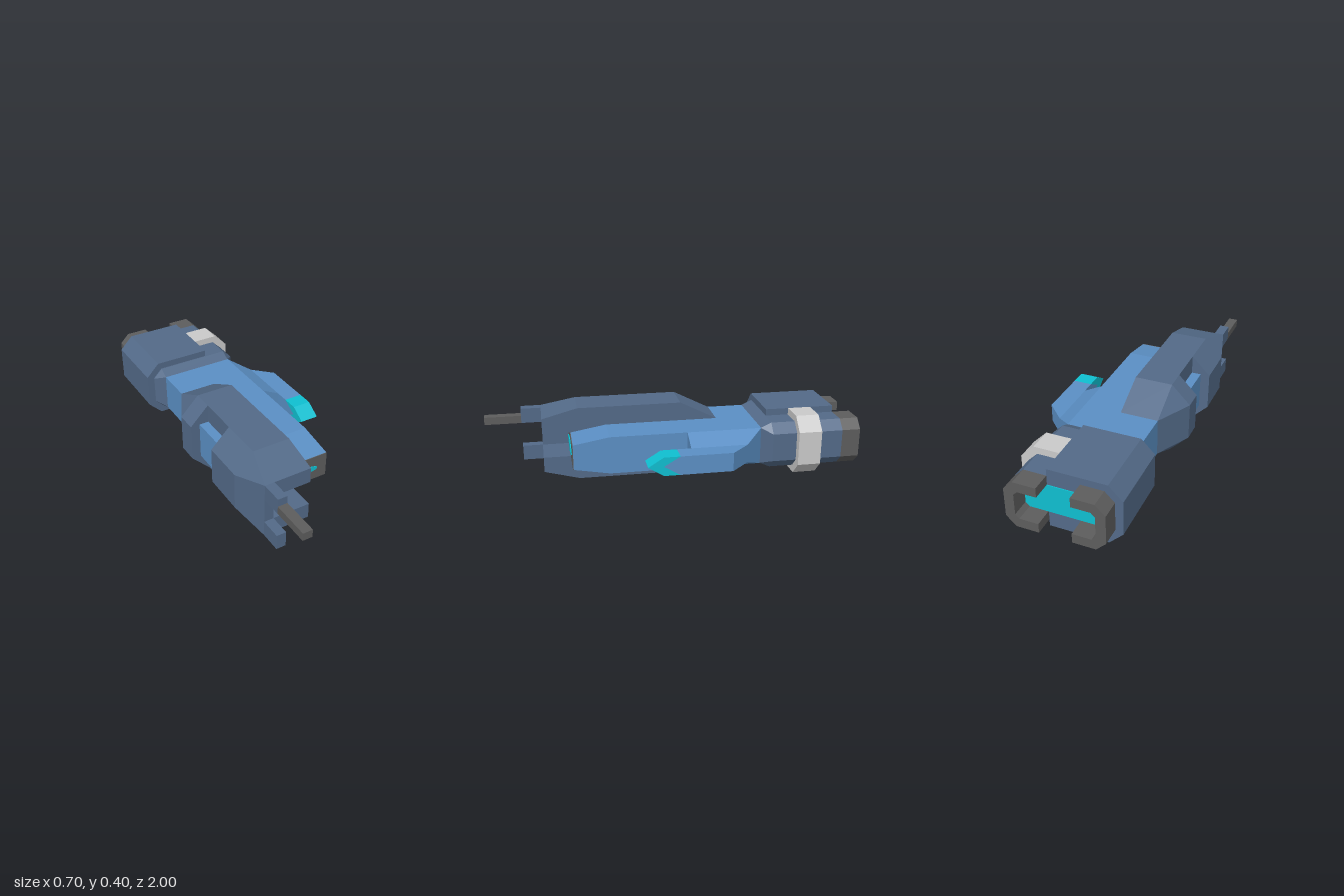
import * as THREE from 'three';

const mat = (name, color) => {
  const m = new THREE.MeshStandardMaterial({ color, flatShading: true });
  m.name = name;
  return m;
};

const MID = 0.202; // height of the horizontal symmetry plane
const flipY = (y) => 2 * MID - y;

// Skin a row of matching convex cross-sections, each counter-clockwise about the direction of travel
function loft(sections) {
  const pos = [];
  const tri = (a, b, c) => pos.push(...a, ...b, ...c);
  for (let s = 0; s + 1 < sections.length; s++) {
    const p = sections[s], q = sections[s + 1], n = p.length;
    for (let i = 0; i < n; i++) {
      const j = (i + 1) % n;
      tri(p[i], p[j], q[j]);
      tri(p[i], q[j], q[i]);
    }
  }
  const first = sections[0], last = sections[sections.length - 1];
  for (let i = 1; i + 1 < first.length; i++) {
    tri(first[0], first[i + 1], first[i]);
    tri(last[0], last[i], last[i + 1]);
  }
  const g = new THREE.BufferGeometry();
  g.setAttribute('position', new THREE.Float32BufferAttribute(pos, 3));
  g.computeVertexNormals();
  return g;
}

const shapeOf = (pts) => new THREE.Shape(pts.map(([a, b]) => new THREE.Vector2(a, b)));

// Prism from an [x, y] outline between z0 and z1
function prismZ(pts, z0, z1) {
  return new THREE.ExtrudeGeometry(shapeOf(pts), { depth: z1 - z0, bevelEnabled: false }).translate(0, 0, z0);
}

// Prism from a [z, y] outline between x0 and x1
function prismX(pts, x0, x1) {
  return new THREE.ExtrudeGeometry(shapeOf(pts), { depth: x1 - x0, bevelEnabled: false })
    .rotateY(-Math.PI / 2).translate(x1, 0, 0);
}

function box(x0, x1, y0, y1, z0, z1) {
  return new THREE.BoxGeometry(x1 - x0, y1 - y0, z1 - z0)
    .translate((x0 + x1) / 2, (y0 + y1) / 2, (z0 + z1) / 2);
}

// Rectangle with four equal chamfers, counter-clockwise
function octagon(x0, x1, y0, y1, c) {
  return [[x0 + c, y0], [x1 - c, y0], [x1, y0 + c], [x1, y1 - c],
    [x1 - c, y1], [x0 + c, y1], [x0, y1 - c], [x0, y0 + c]];
}

export function createModel() {
  const slate = mat('slate armour', 0x536a88);
  const blue = mat('blue body', 0x5b8fc4);
  const grey = mat('dark grey metal', 0x5d5d5d);
  const cyan = mat('cyan glow', 0x0fbfd0);
  const silver = mat('silver band', 0xcacaca);

  const root = new THREE.Group();
  const add = (name, geometry, material) => {
    const m = new THREE.Mesh(geometry, material);
    m.name = name;
    root.add(m);
  };

  // Central body with a tapered nose
  add('core', prismX([[-0.46, 0.101], [0.35, 0.101], [0.54, 0.135], [0.54, 0.27],
    [0.35, 0.303], [-0.46, 0.303]], -0.252, 0.15), blue);
  add('coreSideBlock', box(-0.303, -0.25, 0.101, 0.303, 0.03, 0.29), blue);
  add('nosePlate', box(-0.252, 0.15, 0.135, 0.27, 0.54, 0.544), grey);
  add('noseLight', prismZ([[-0.192, 0.195], [-0.05, 0.163], [0.091, 0.195],
    [0.091, 0.21], [-0.05, 0.242], [-0.192, 0.21]], 0.544, 0.549), cyan);

  // Armour slabs above and below the body, with the prongs in front
  const slab = [[-0.26, 0.303], [-0.06, 0.404], [0.5, 0.404], [0.69, 0.353], [0.69, 0.27], [-0.26, 0.27]];
  const lowerSlab = slab.map(([z, y]) => [z, flipY(y)]);
  add('upperArmour', prismX(slab, -0.252, -0.05), slate);
  add('lowerArmour', prismX(lowerSlab, -0.252, -0.05), slate);
  add('upperProng', box(-0.303, -0.252, 0.27, 0.353, 0.69, 0.8), slate);
  add('lowerProng', box(-0.303, -0.252, 0.051, 0.134, 0.69, 0.8), slate);
  add('prongRod', box(-0.303, -0.252, 0.27, 0.312, 0.8, 1), grey);

  // Chamfered side walls, with a gap between the rear and front pieces
  const wall = (z, top, midX, outX, outY) => {
    const half = [[-0.252, top], [midX, top], [outX, outY]];
    const lower = half.map(([x, y]) => [x, flipY(y)]).reverse();
    return [...half, ...lower].map(([x, y]) => [x, y, z]);
  };
  const full = (z) => wall(z, 0.404, -0.252, -0.353, 0.303);
  add('rearSideArmour', loft([wall(-0.26, 0.303, -0.252, -0.252, 0.303), full(-0.06), full(0.05)]), slate);
  add('frontSideArmour', loft([full(0.27), full(0.5), wall(0.69, 0.353, -0.303, -0.303, 0.353)]), slate);

  // Side fin with a glowing chevron tip
  const finRoot = (x, zBack, y0, y1) => [[x, y0, zBack], [x, y1, zBack], [x, y1, -0.06], [x, y0, -0.06]];
  add('finRoot', loft([finRoot(0.15, -0.46, 0.101, 0.303), finRoot(0.25, -0.36, 0.152, 0.252)]), blue);
  const finBlade = (x, zBack) => [[x, 0.152, zBack], [x, 0.252, zBack],
    [x, 0.252, 0.015], [x, MID, 0.1], [x, 0.152, 0.015]];
  add('finBlade', loft([finBlade(0.25, -0.36), finBlade(0.35, -0.26)]), blue);
  add('finTip', prismX([[0.015, 0.152], [0.1, 0.152], [0.18, MID], [0.1, 0.252],
    [0.015, 0.252], [0.1, MID]], 0.25, 0.35), cyan);

  // Flared neck and rear housing
  const at = (pts, z) => pts.map(([x, y]) => [x, y, z]);
  const housing = octagon(-0.3, 0.2, 0.077, 0.329, 0.05);
  add('neck', loft([at(housing, -0.515), at(octagon(-0.252, 0.15, 0.101, 0.303, 0.001), -0.46)]), slate);
  add('rearHousing', prismZ(housing, -0.9, -0.515), slate);
  add('rearShell', prismZ([[0.033, 0.04], [0.033, 0.365], [-0.268, 0.365], [-0.339, 0.293],
    [-0.339, 0.111], [-0.268, 0.04]], -0.9, -0.52), slate);
  add('rearBand', prismZ([[0.033, 0.04], [0.167, 0.04], [0.238, 0.111], [0.238, 0.293],
    [0.167, 0.365], [0.033, 0.365]], -0.77, -0.645), silver);

  // Rear nozzle: two facing brackets around a glowing plate
  const bracket = [[0.033, 0.329], [0.15, 0.329], [0.2, 0.279], [0.2, 0.127], [0.15, 0.077], [0.033, 0.077],
    [0.033, 0.127], [0.13, 0.127], [0.15, 0.147], [0.15, 0.259], [0.13, 0.279], [0.033, 0.279]];
  add('leftNozzleBracket', prismZ(bracket, -1, -0.9), grey);
  add('rightNozzleBracket', prismZ(bracket.map(([x, y]) => [-0.1 - x, y]), -1, -0.9), grey);
  add('nozzleLight', box(-0.25, 0.15, 0.127, 0.279, -0.905, -0.9), cyan);

  return root;
}
